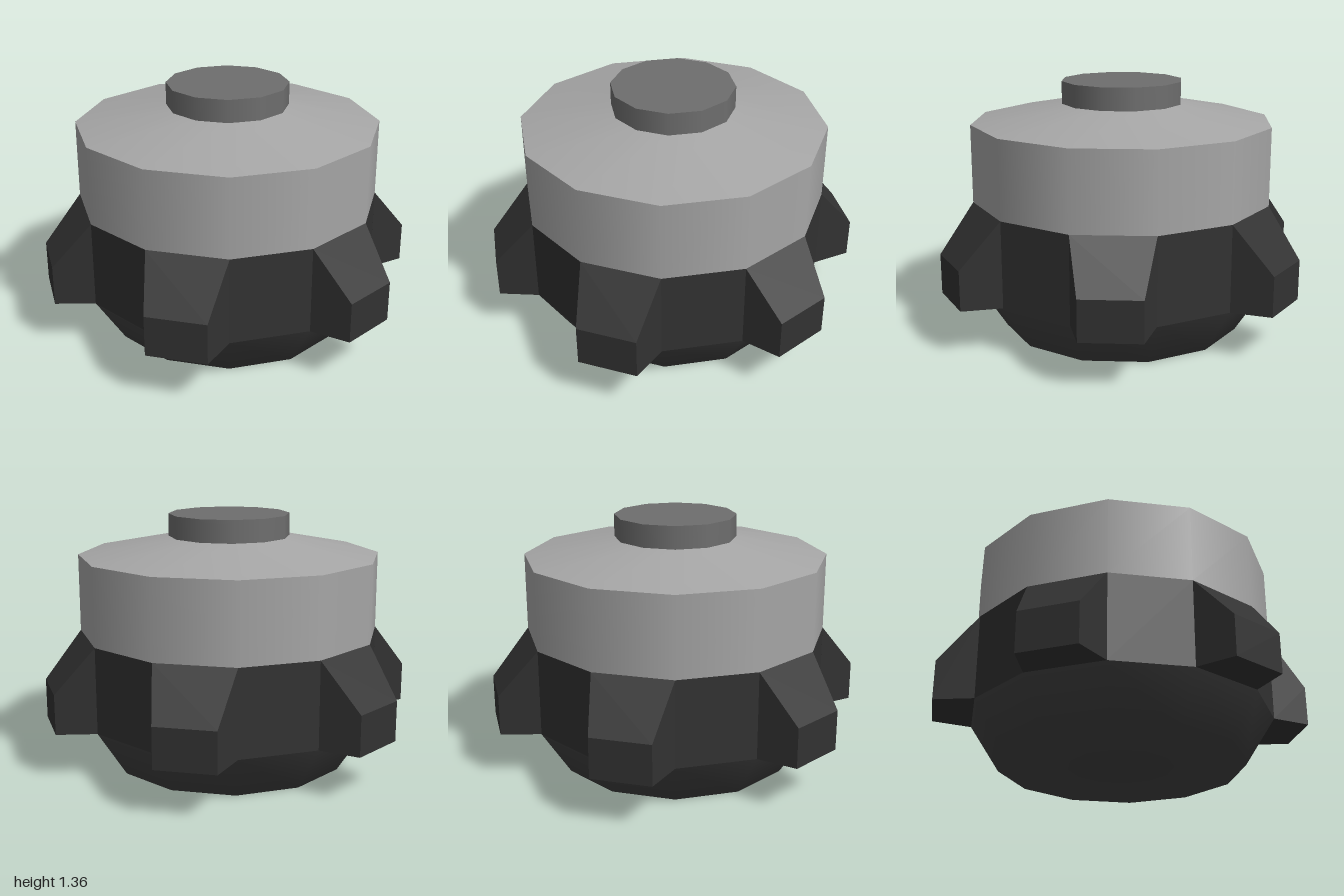
import * as THREE from 'three';

const SIDES = 12, START = Math.PI / 12;
const R = 0.818, RIM_LOW = 0.255, RIM_HIGH = 0.718, SHOULDER = 1.138, NECK = 1.236, TOP = 1.357;
const APOTHEM = R * Math.cos(START);

const mat = (name, color, flat = false) => {
  const m = new THREE.MeshStandardMaterial({ color, flatShading: flat });
  m.name = name;
  return m;
};

// Twelve-sided ring or disc between two heights
function ring(rTop, rBottom, y0, y1, open = true) {
  const g = new THREE.CylinderGeometry(rTop, rBottom, y1 - y0, SIDES, 1, open, START);
  return g.translate(0, (y0 + y1) / 2, 0);
}

// Block narrowing outwards with a sloped top
function lugGeometry() {
  const g = new THREE.BoxGeometry(1, 1, 1);
  const p = g.attributes.position;
  for (let i = 0; i < p.count; i++) {
    const outer = p.getX(i) > 0;
    const y = p.getY(i) < 0 ? RIM_LOW : outer ? 0.47 : RIM_HIGH;
    p.setXYZ(i, outer ? 1 : APOTHEM, y, Math.sign(p.getZ(i)) * (outer ? 0.158 : 0.212));
  }
  g.computeVertexNormals();
  return g;
}

export function createModel() {
  const group = new THREE.Group();
  const bodyGrey = mat('bodyGrey', 0xa6a6a6);
  const capGrey = mat('capGrey', 0x6e6e6e);
  const gripBlack = mat('gripBlack', 0x323232, true);
  const baseGrey = mat('baseGrey', 0x424242);

  const add = (name, geometry, material) => {
    const mesh = new THREE.Mesh(geometry, material);
    mesh.name = name;
    group.add(mesh);
    return mesh;
  };

  // Softly shaded tapered base with closed underside
  const profile = [[0, 0], [0.655, 0], [R, RIM_LOW]].map(([x, y]) => new THREE.Vector2(x, y));
  const base = new THREE.LatheGeometry(profile, SIDES, START);
  base.normalizeNormals();
  add('base', base, baseGrey);

  // Dark band, upper wall, sloped shoulder and top cap
  add('band', ring(R, R, RIM_LOW, RIM_HIGH), gripBlack);
  add('upperWall', ring(R, R, RIM_HIGH, SHOULDER), bodyGrey);
  add('shoulder', ring(0.328, R, SHOULDER, NECK), bodyGrey);
  add('cap', ring(0.328, 0.328, NECK, TOP, false), capGrey);

  // Six lugs around the band
  const lug = lugGeometry();
  for (let i = 0; i < 6; i++) {
    add('lug' + (i + 1), lug, gripBlack).rotation.y = i * Math.PI / 3;
  }
  return group;
}
